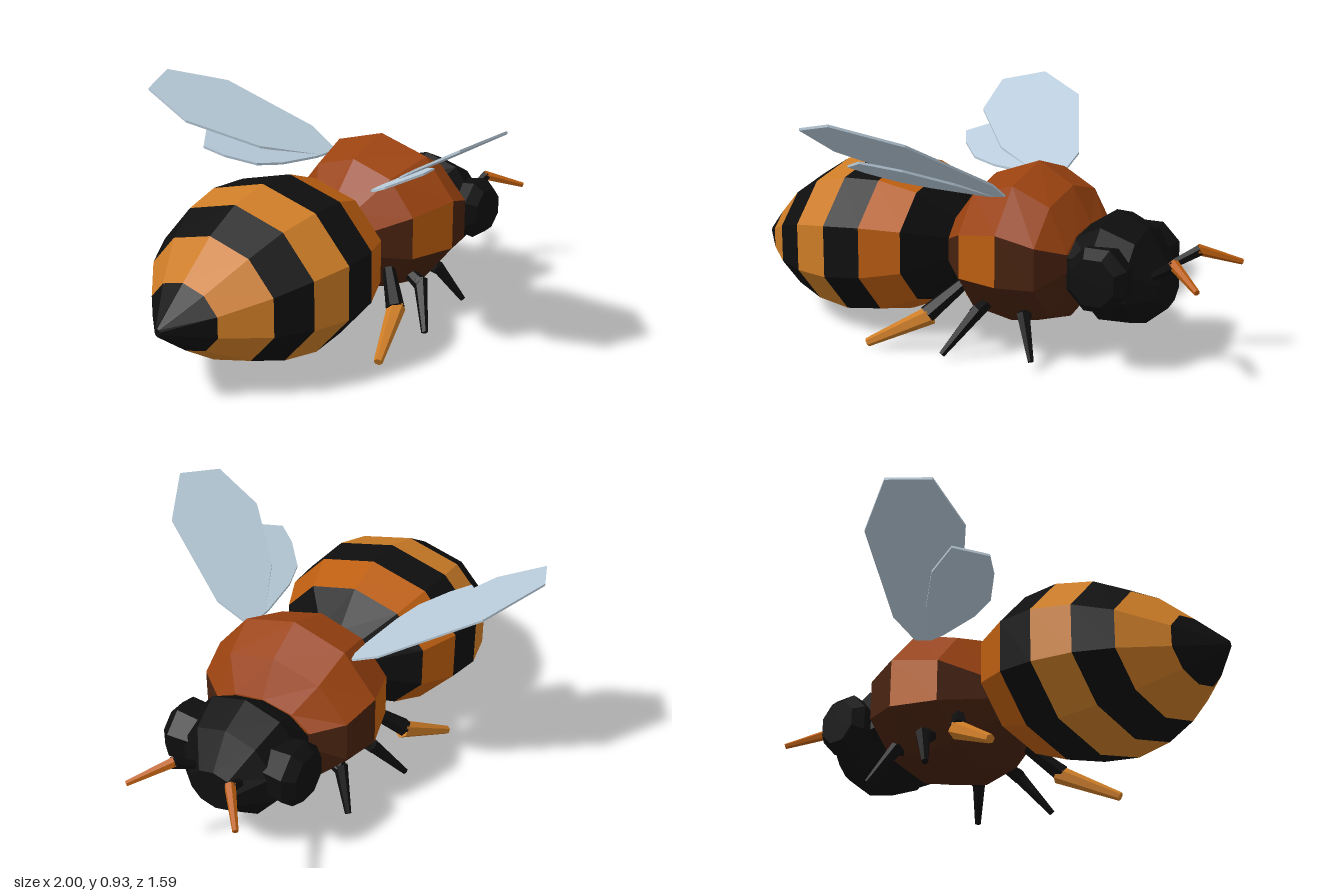
import * as THREE from 'three';

const flat = (name, color) => {
  const m = new THREE.MeshStandardMaterial({ color, flatShading: true });
  m.name = name;
  return m;
};

export function createModel() {
  const bee = new THREE.Group();
  bee.name = 'bee';
  const black = flat('black', 0x0e0e0e);
  const amber = flat('amber', 0xcc7c26);
  const orange = flat('orange', 0xbc5e10);
  const rust = flat('rust', 0x9a4210);
  const brown = flat('dark brown', 0x48220f);
  const wingBlue = flat('wing blue', 0xbacddc);

  const add = (parent, name, geometry, material) => {
    const mesh = new THREE.Mesh(geometry, material);
    mesh.name = name;
    parent.add(mesh);
    return mesh;
  };

  // Ten-sided body along x; rings are [x, bottom y, top y, half width].
  const SIDES = 10;
  function body(name, rings, materials, pick) {
    const point = ([x, lo, hi, w], k) => {
      const a = (k / SIDES) * Math.PI * 2;
      return [x, (lo + hi) / 2 + Math.cos(a) * (hi - lo) / 2, Math.sin(a) * w / 0.951];
    };
    const centre = ([x, lo, hi]) => [x, (lo + hi) / 2, 0];
    const geo = new THREE.BufferGeometry();
    const pos = [];
    const face = (index, ...pts) => {
      geo.addGroup(pos.length / 3, pts.length, index);
      pts.forEach(p => pos.push(...p));
    };
    const last = rings.length - 1;
    for (let k = 0; k < SIDES; k++) {
      for (let i = 0; i < last; i++) {
        const a = point(rings[i], k), b = point(rings[i], k + 1);
        const c = point(rings[i + 1], k + 1), d = point(rings[i + 1], k);
        face(pick(i, k), a, b, c, a, c, d);
      }
      face(pick(0, k), centre(rings[0]), point(rings[0], k + 1), point(rings[0], k));
      face(pick(last - 1, k), centre(rings[last]), point(rings[last], k), point(rings[last], k + 1));
    }
    geo.setAttribute('position', new THREE.Float32BufferAttribute(pos, 3));
    geo.computeVertexNormals();
    return add(bee, name, geo, materials);
  }

  // Striped abdomen, one colour per band
  const bands = [0, 1, 0, 1, 0, 2, 0, 0];
  body('abdomen', [
    [-1, 0.275, 0.305, 0.012], [-0.87, 0.18, 0.43, 0.155], [-0.73, 0.095, 0.56, 0.285],
    [-0.6, 0.05, 0.64, 0.355], [-0.45, 0.03, 0.68, 0.39], [-0.3, 0.05, 0.68, 0.375],
    [-0.155, 0.11, 0.63, 0.31], [-0.045, 0.23, 0.5, 0.14], [0, 0.28, 0.44, 0.08],
  ], [black, amber, orange], i => bands[i]);

  // Thorax: rust back, dark belly, one orange panel on each flank
  body('thorax', [
    [-0.045, 0.22, 0.5, 0.14], [0.085, 0.115, 0.65, 0.285], [0.27, 0.09, 0.715, 0.345],
    [0.41, 0.13, 0.635, 0.31], [0.485, 0.28, 0.5, 0.2],
  ], [rust, brown, orange], (i, k) => {
    if (k < 2 || k > 7) return 0;
    return i === 1 && (k === 2 || k === 7) ? 2 : 1;
  });

  body('head', [
    [0.475, 0.26, 0.49, 0.19], [0.59, 0.145, 0.565, 0.235],
    [0.715, 0.15, 0.51, 0.2], [0.8, 0.22, 0.38, 0.1],
  ], [black], () => 0);

  // Tapered segment between two points
  function limb(parent, name, from, to, r0, r1, material) {
    const a = new THREE.Vector3(...from), b = new THREE.Vector3(...to);
    const dir = b.clone().sub(a);
    const mesh = add(parent, name, new THREE.CylinderGeometry(r1, r0, dir.length(), 6), material);
    mesh.position.copy(a).add(b).multiplyScalar(0.5);
    mesh.quaternion.setFromUnitVectors(new THREE.Vector3(0, 1, 0), dir.normalize());
  }

  // Thin wing from an [x, z] outline, tilted upwards away from the body
  function wing(parent, name, outline, s, slope) {
    const shape = new THREE.Shape(outline.map(([x, z]) => new THREE.Vector2(x, -z * s)));
    const geo = new THREE.ExtrudeGeometry(shape, { depth: 0.009, bevelEnabled: false });
    geo.rotateX(-Math.PI / 2);
    const p = geo.attributes.position;
    for (let i = 0; i < p.count; i++) {
      p.setY(i, p.getY(i) + 0.606 + slope * (Math.abs(p.getZ(i)) - 0.215));
    }
    geo.computeVertexNormals();
    add(parent, name, geo, wingBlue);
  }

  const eyeProfile = [[0, -0.12], [0.1, -0.12], [0.125, 0.045], [0.09, 0.085], [0, 0.085]]
    .map(p => new THREE.Vector2(...p));

  // Paired parts on both sides
  for (const s of [1, -1]) {
    const side = new THREE.Group();
    side.name = s > 0 ? 'leftSide' : 'rightSide';
    bee.add(side);
    const at = (x, y, z) => [x, y, z * s];

    const eye = add(side, 'eye', new THREE.LatheGeometry(eyeProfile, 8, Math.PI / 8), black);
    eye.rotation.x = s * Math.PI / 2;
    eye.position.set(0.625, 0.36, 0.2 * s);

    limb(side, 'antennaBase', at(0.76, 0.35, 0.09), at(0.87, 0.42, 0.125), 0.016, 0.022, black);
    limb(side, 'antennaTip', at(0.86, 0.422, 0.118), at(0.993, 0.367, 0.232), 0.021, 0.011, orange);

    limb(side, 'hindThigh', at(0.05, 0.25, 0.2), at(-0.045, 0.145, 0.3), 0.025, 0.036, black);
    limb(side, 'hindShin', at(-0.03, 0.145, 0.295), at(-0.262, 0.022, 0.38), 0.036, 0.017, amber);
    limb(side, 'middleThigh', at(0.18, 0.22, 0.17), at(0.155, 0.175, 0.28), 0.02, 0.03, black);
    limb(side, 'middleShin', at(0.165, 0.19, 0.27), at(0.06, 0.025, 0.365), 0.029, 0.013, black);
    limb(side, 'frontThigh', at(0.32, 0.2, 0.15), at(0.335, 0.18, 0.24), 0.02, 0.028, black);
    limb(side, 'frontShin', at(0.33, 0.19, 0.235), at(0.405, 0.042, 0.315), 0.027, 0.012, black);

    wing(side, 'frontWing', [
      [0.25, 0.215], [0.265, 0.35], [0.107, 0.67], [-0.117, 0.795],
      [-0.29, 0.727], [-0.28, 0.54], [-0.08, 0.335], [0.15, 0.215],
    ], s, 0.55);
    wing(side, 'hindWing', [
      [0.2, 0.22], [0.1, 0.34], [-0.04, 0.46], [-0.19, 0.515],
      [-0.3, 0.43], [-0.26, 0.36], [-0.17, 0.275], [-0.06, 0.24], [0.13, 0.215],
    ], s, 0.46);
  }
  return bee;
}
